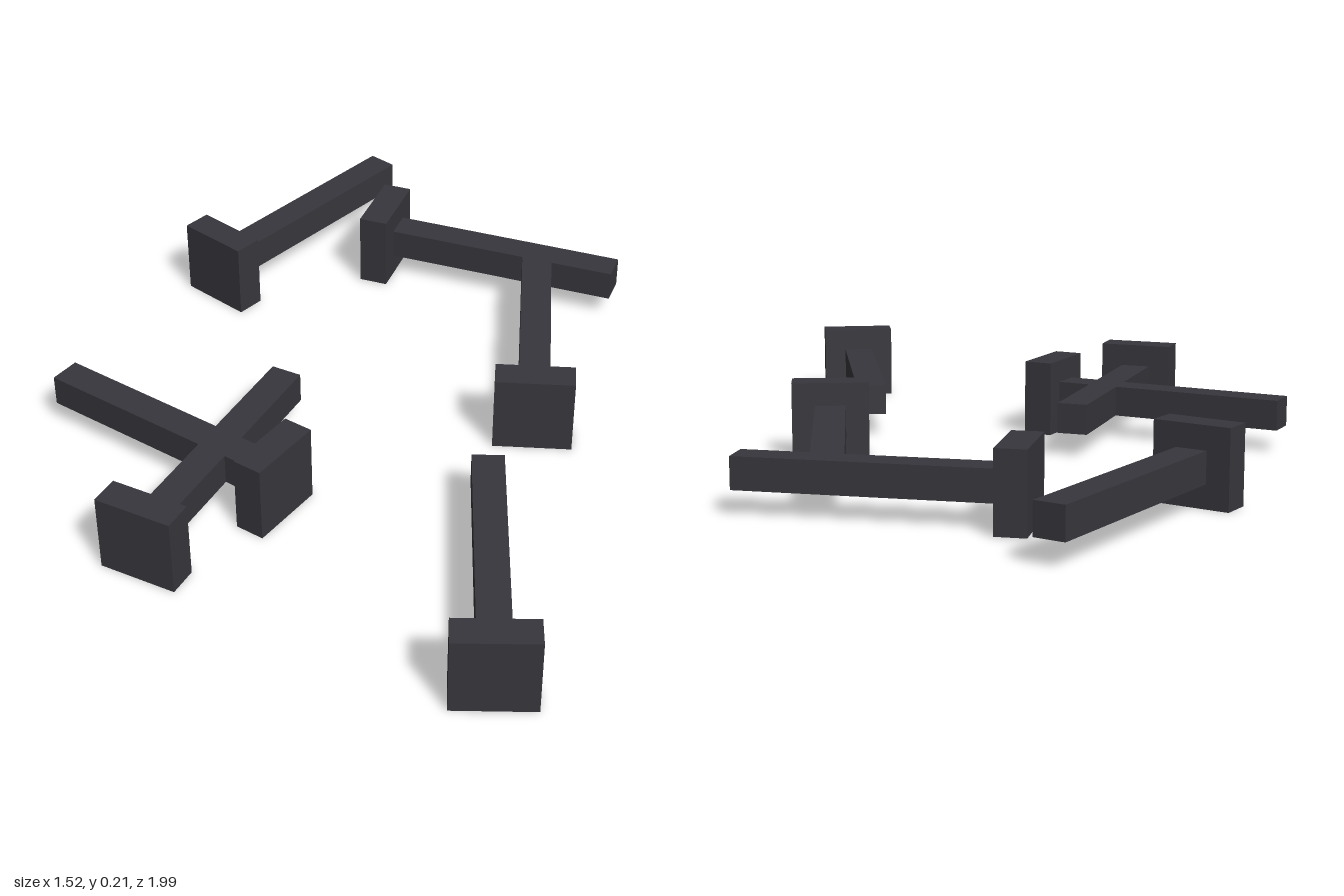
import * as THREE from 'three';

const HEAD = 0.208, THICK = 0.08, SHAFT = 0.083, REACH = 0.695;

// One square-headed bolt lying flat: head at the origin, shaft along +z
function makeBolt(material) {
  const bolt = new THREE.Group();
  const head = new THREE.Mesh(new THREE.BoxGeometry(HEAD, HEAD, THICK), material);
  head.name = 'boltHead';
  const length = REACH - THICK / 2;
  const shaft = new THREE.Mesh(new THREE.BoxGeometry(SHAFT, SHAFT, length), material);
  shaft.name = 'boltShaft';
  shaft.position.z = THICK / 2 + length / 2;
  bolt.add(head, shaft);
  return bolt;
}

export function createModel() {
  const model = new THREE.Group();
  model.name = 'scatteredBolts';
  const darkIron = new THREE.MeshStandardMaterial({ color: 0x37363c });
  darkIron.name = 'darkIron';

  // Head centre (x, z), then the shaft tip (x, z) it points to
  const layout = [
    [-0.616, -0.331, -0.384, -0.983],
    [-0.241, -0.653, 0.455, -0.672],
    [0.431, -0.012, 0.222, -0.672],
    [-0.077, 0.508, -0.757, 0.349],
    [-0.276, 0.825, -0.209, 0.135],
    [0.648, 0.921, 0.402, 0.268],
  ];
  layout.forEach(([x, z, tipX, tipZ], i) => {
    const bolt = makeBolt(darkIron);
    bolt.name = `bolt${i + 1}`;
    bolt.position.set(x, HEAD / 2, z);
    bolt.rotation.y = Math.atan2(tipX - x, tipZ - z);
    model.add(bolt);
  });
  return model;
}
